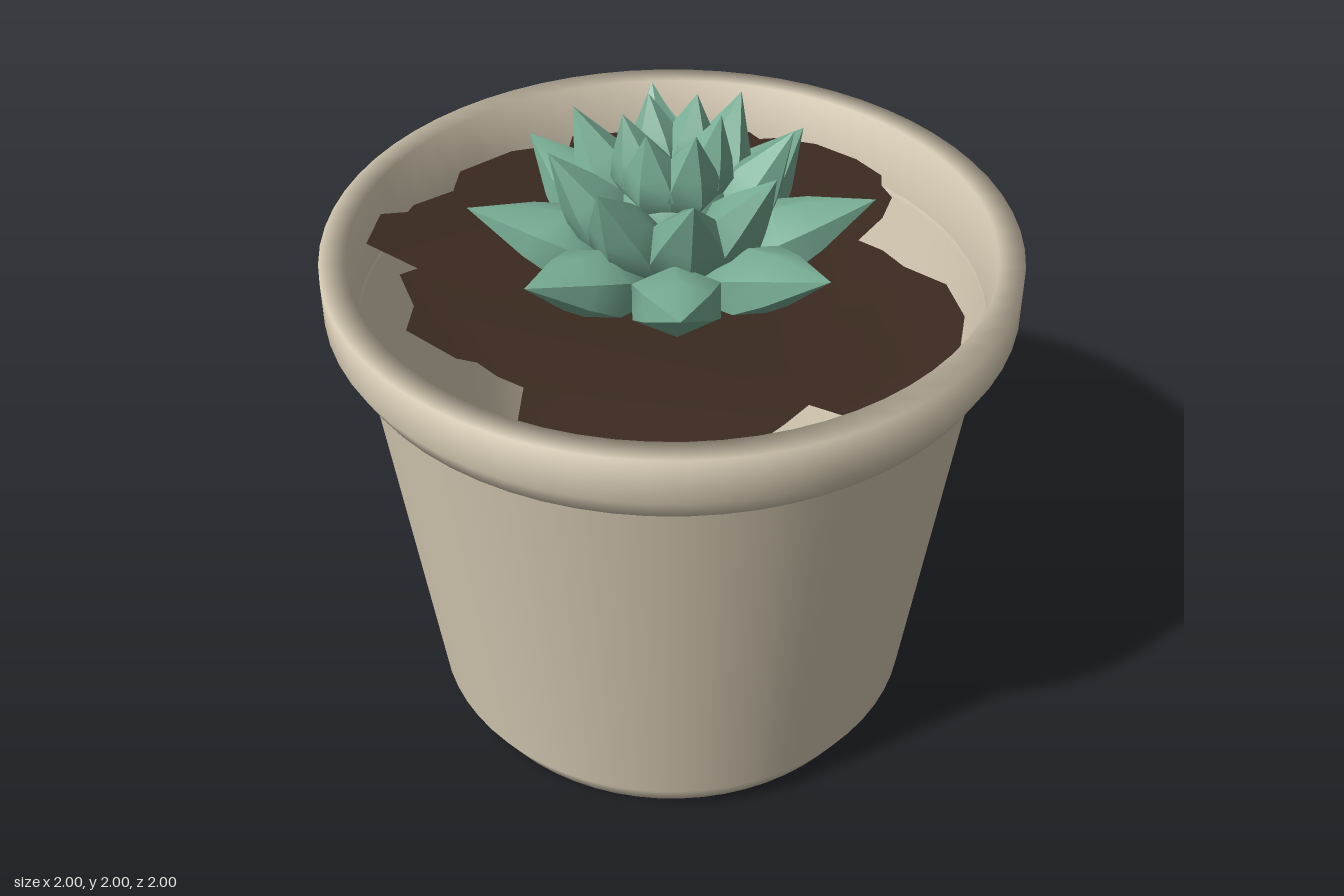
import * as THREE from 'three';
import { toCreasedNormals } from 'three/addons/utils/BufferGeometryUtils.js';

const clay = new THREE.MeshStandardMaterial({ color: 0xd9cdb6, side: THREE.DoubleSide });
clay.name = 'clay';
const earth = new THREE.MeshStandardMaterial({ color: 0x3b2a20, side: THREE.DoubleSide });
earth.name = 'darkSoil';
const green = new THREE.MeshStandardMaterial({ color: 0x78ad95 });
green.name = 'leafGreen';

const pts = (list) => list.map(([x, y]) => new THREE.Vector2(x, y));

// Pointed leaf running from (r0, y0) to its tip (r1, y1) in the radius/height plane
function leafGeometry(r0, y0, r1, y1, width, thickness) {
  const length = Math.hypot(r1 - r0, y1 - y0);
  const g = new THREE.LatheGeometry(pts([[0, 0], [0.72, 0.12], [1, 0.42], [0.74, 0.62], [0, 1]]), 6);
  g.scale(width, length, thickness);
  g.rotateX(Math.atan2(r1 - r0, y1 - y0));
  g.translate(0, y0, r0);
  return toCreasedNormals(g, 0.8);
}

function leafRing(name, count, offset, geometry) {
  const ring = new THREE.Group();
  ring.name = name;
  for (let i = 0; i < count; i++) {
    const leaf = new THREE.Mesh(geometry, green);
    leaf.name = 'leaf';
    leaf.rotation.y = offset + (i * Math.PI * 2) / count;
    ring.add(leaf);
  }
  return ring;
}

export function createModel() {
  const model = new THREE.Group();
  model.name = 'pottedSucculent';

  // Thin hollow pot: floor, chamfered foot, tapered wall, thick rim and inner lip
  const potShape = new THREE.LatheGeometry(pts([
    [0, 0], [0.69, 0], [0.75, 0.1], [0.91, 1.375], [0.96, 1.385],
    [1, 1.46], [1, 1.6], [0.925, 1.6], [0.912, 1.39],
  ]), 64);
  const pot = new THREE.Mesh(potShape, clay);
  pot.name = 'pot';
  model.add(pot);

  // Ragged patch of soil with a small gap, outlined as x, z
  const outline = [
    [-0.17, -0.86], [0, -0.85], [0.13, -0.81], [0.17, -0.76], [0.24, -0.72], [0.29, -0.61],
    [0.31, -0.47], [0.4, -0.47], [0.5, -0.44], [0.65, -0.44], [0.78, -0.35], [0.86, -0.22],
    [0.89, -0.08], [0.87, 0.03], [0.83, 0.16], [0.68, 0.2], [0.68, 0.3], [0.67, 0.42],
    [0.6, 0.58], [0.55, 0.7], [0.4, 0.8], [0.22, 0.86], [0.17, 0.78], [0.08, 0.67],
    [0, 0.69], [-0.08, 0.69], [-0.13, 0.72], [-0.31, 0.74], [-0.38, 0.65], [-0.52, 0.58],
    [-0.51, 0.52], [-0.7, 0.55], [-0.8, 0.41], [-0.76, 0.34], [-0.78, 0.3], [-0.77, 0.15],
    [-0.85, 0.05], [-0.85, -0.17], [-0.8, -0.28], [-0.73, -0.3], [-0.8, -0.39],
    [-0.66, -0.6], [-0.4, -0.8], [-0.34, -0.78], [-0.3, -0.82],
  ];
  const gap = [[-0.54, -0.54], [-0.46, -0.56], [-0.36, -0.36], [-0.43, -0.36]];
  const flip = (list) => pts(list.map(([x, z]) => [x, -z]));
  const shape = new THREE.Shape(flip(outline));
  shape.holes.push(new THREE.Path(flip(gap)));
  const soilShape = new THREE.ShapeGeometry(shape).rotateX(-Math.PI / 2);

  // Slight warp so the surface is not perfectly flat
  const p = soilShape.attributes.position;
  for (let i = 0; i < p.count; i++) p.setY(i, 1.487 - 0.12 * p.getX(i) * p.getZ(i));
  soilShape.computeVertexNormals();
  const soil = new THREE.Mesh(soilShape, earth);
  soil.name = 'soil';
  model.add(soil);

  // Rosette: three tiers of leaves around a hidden core
  const rosette = new THREE.Group();
  rosette.name = 'succulent';
  rosette.add(leafRing('outerLeaves', 8, 0, leafGeometry(0.13, 1.52, 0.577, 1.715, 0.14, 0.1)));
  rosette.add(leafRing('middleLeaves', 8, 0.13, leafGeometry(0.1, 1.54, 0.345, 1.915, 0.125, 0.1)));
  rosette.add(leafRing('innerLeaves', 6, 0.2, leafGeometry(0.05, 1.7, 0.135, 2, 0.1, 0.09)));
  const core = new THREE.Mesh(new THREE.IcosahedronGeometry(0.17, 1), green);
  core.name = 'core';
  core.position.y = 1.68;
  rosette.add(core);
  model.add(rosette);

  return model;
}
